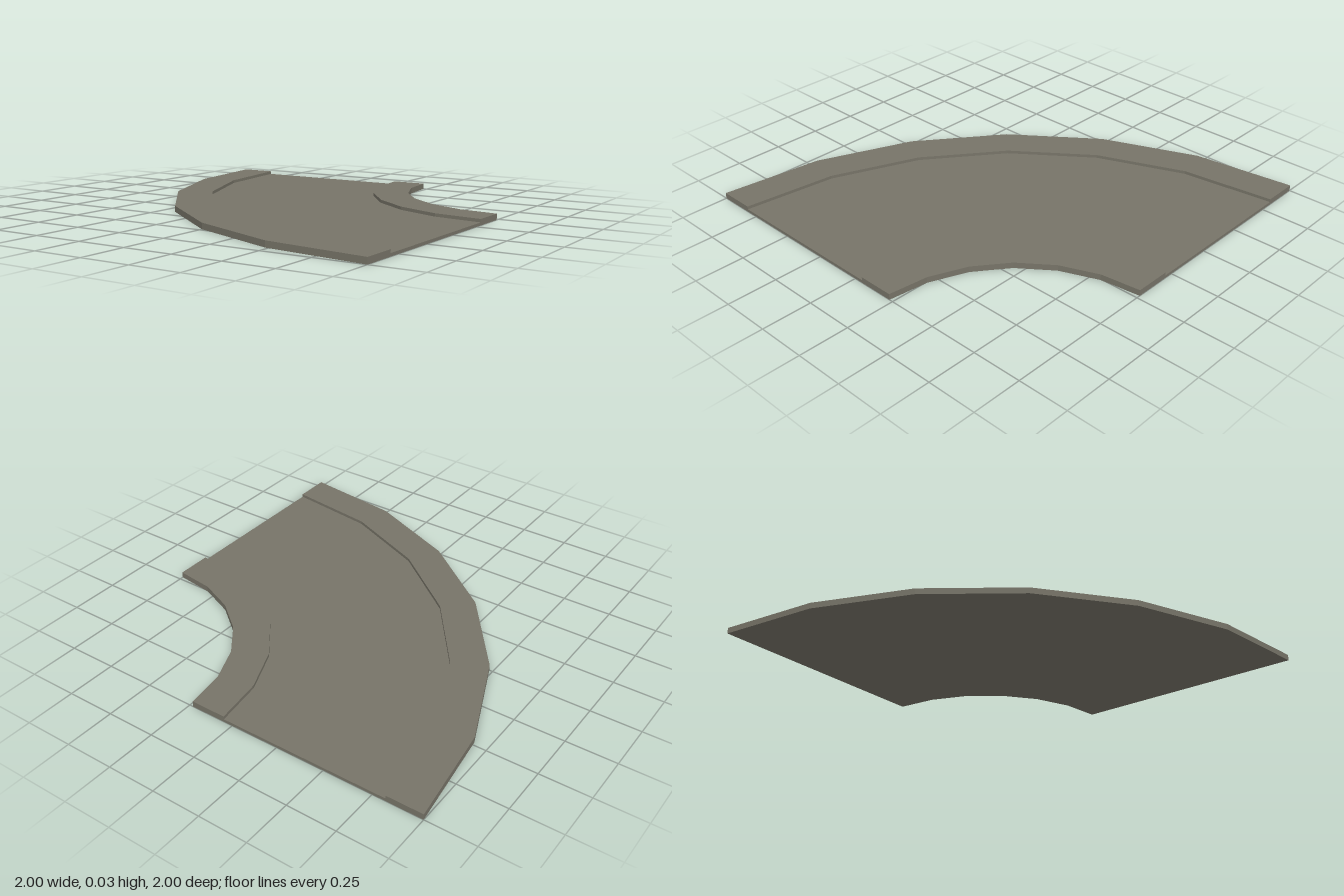
import * as THREE from 'three';

const STEPS = 6; // facets in the quarter turn

// Quarter-ring slab of the given radii and height, turning about the corner (1, -1)
function quarterRing(name, inner, outer, height, material) {
  const arc = (r) => Array.from({ length: STEPS + 1 }, (_, i) => {
    const a = Math.PI + (i / STEPS) * (Math.PI / 2);
    return new THREE.Vector2(1 + r * Math.cos(a), 1 + r * Math.sin(a)); // shape y becomes -z
  });
  const shape = new THREE.Shape([...arc(outer), ...arc(inner).reverse()]);
  const geometry = new THREE.ExtrudeGeometry(shape, { depth: height, bevelEnabled: false });
  geometry.rotateX(-Math.PI / 2);
  const mesh = new THREE.Mesh(geometry, material);
  mesh.name = name;
  return mesh;
}

export function createModel() {
  const group = new THREE.Group();
  group.name = 'curvedRoad';
  const asphalt = new THREE.MeshStandardMaterial({ color: 0x777468 });
  asphalt.name = 'asphalt grey';

  // Sunken roadway between two raised pavements
  group.add(
    quarterRing('innerPavement', 0.77, 0.953, 0.03, asphalt),
    quarterRing('roadway', 0.953, 1.815, 0.014, asphalt),
    quarterRing('outerPavement', 1.815, 2, 0.03, asphalt),
  );
  return group;
}
